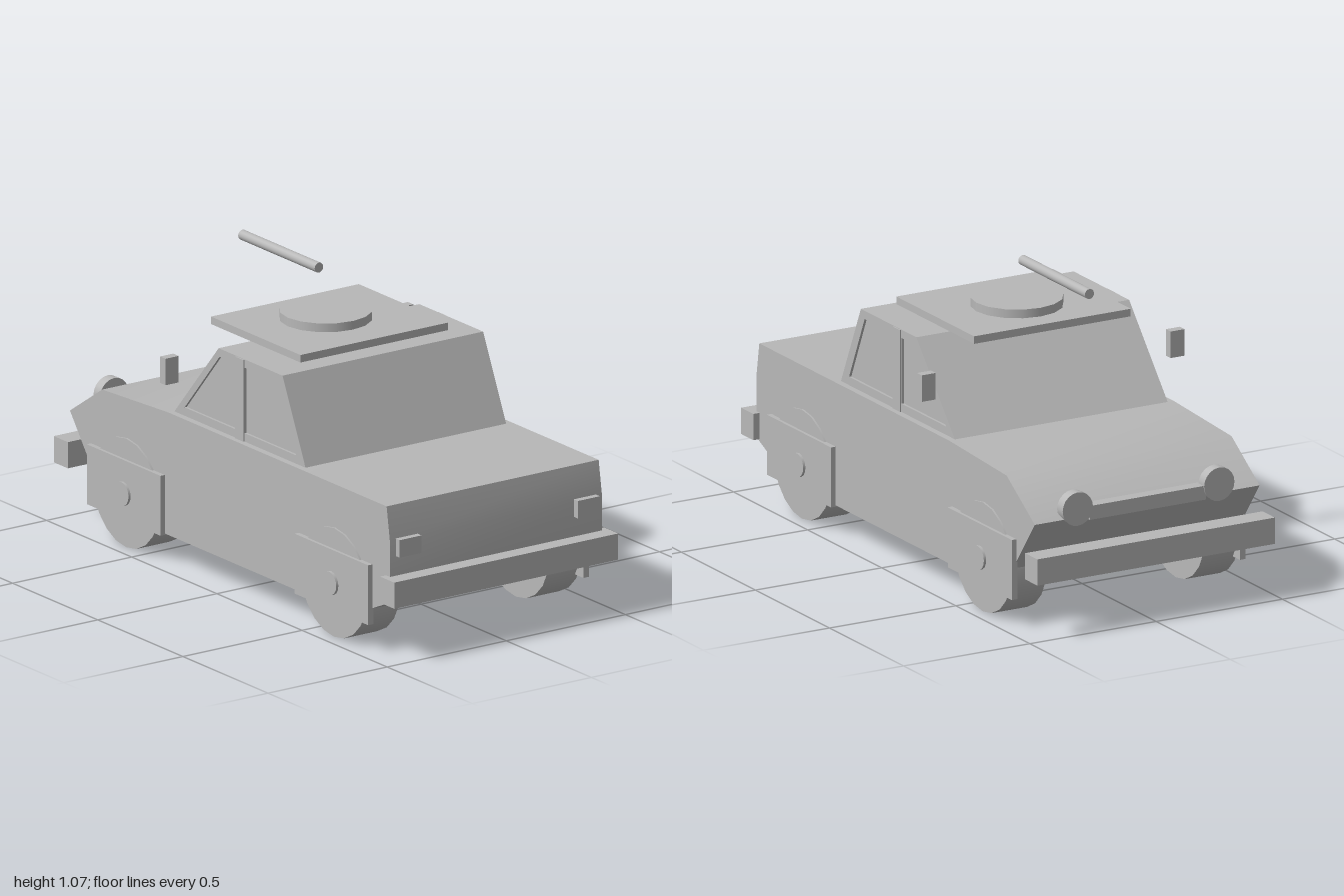
import * as THREE from 'three';
import { toCreasedNormals } from 'three/addons/utils/BufferGeometryUtils.js';

const grey = new THREE.MeshStandardMaterial({ color: 0xb8b8b8 });
grey.name = 'plain grey';

export function createModel() {
  const model = new THREE.Group();
  model.name = 'armouredCar';

  const add = (name, geometry) => {
    const mesh = new THREE.Mesh(geometry, grey);
    mesh.name = name;
    model.add(mesh);
    return mesh;
  };

  // Box given by its extents along each axis
  const box = (name, [x0, x1], [y0, y1], [z0, z1]) =>
    add(name, new THREE.BoxGeometry(x1 - x0, y1 - y0, z1 - z0))
      .position.set((x0 + x1) / 2, (y0 + y1) / 2, (z0 + z1) / 2);

  // Side profile of [z, y] points, extruded across x
  const points = (list) => list.map(([z, y]) => new THREE.Vector2(z, y));
  const profile = (name, outline, [x0, x1], holes = []) => {
    const shape = new THREE.Shape(points(outline));
    shape.holes = holes.map((h) => new THREE.Path(points(h)));
    const g = new THREE.ExtrudeGeometry(shape, { depth: x1 - x0, bevelEnabled: false });
    g.rotateY(-Math.PI / 2).translate(x1, 0, 0);
    return add(name, toCreasedNormals(g, 0.55));
  };

  // Cylinder along x, y or z
  const cylinder = (name, radius, length, sides, axis, [x, y, z]) => {
    const g = new THREE.CylinderGeometry(radius, radius, length, sides);
    if (axis === 'x') g.rotateZ(Math.PI / 2);
    if (axis === 'z') g.rotateX(Math.PI / 2);
    add(name, g).position.set(x, y, z);
  };

  // Hull and cabin
  profile('hull', [
    [0.72, 0.105], [0.93, 0.2], [0.94, 0.24], [0.94, 0.42], [0.92, 0.545],
    [-0.36, 0.545], [-0.75, 0.525], [-0.94, 0.4], [-0.82, 0.24], [-0.72, 0.105],
  ], [-0.445, 0.445]);
  const cabin = [[0.41, 0.545], [0.275, 0.84], [-0.1, 0.84], [-0.36, 0.545]];
  profile('cabin', cabin, [-0.412, 0.412]);

  // Turret plate, hatch and gun
  box('turretPlate', [-0.31, 0.31], [0.853, 0.88], [-0.3, 0.225]);
  cylinder('hatch', 0.16, 0.031, 16, 'y', [0, 0.8955, -0.06]);
  cylinder('gunBarrel', 0.018, 0.45, 16, 'z', [0, 1.05, -0.325]);

  // Bumpers and the bar between the lamps
  box('tailBumper', [-0.47, 0.47], [0.203, 0.297], [0.917, 1]);
  box('noseBumper', [-0.47, 0.47], [0.203, 0.297], [-1, -0.917]);
  box('grilleBar', [-0.23, 0.23], [0.385, 0.435], [-0.945, -0.9]);

  for (const side of [-1, 1]) {
    const span = (a, b) => (side > 0 ? [a, b] : [-b, -a]);

    // Raised window frame and centre pillar
    profile('windowFrame', cabin, span(0.412, 0.421), [
      [[0.355, 0.575], [0.05, 0.575], [0.05, 0.81], [0.25, 0.81]],
      [[0, 0.575], [-0.3, 0.575], [-0.095, 0.81], [0, 0.81]],
    ]);
    box('centrePillar', span(0.4, 0.426), [0.545, 0.838], [0.004, 0.052]);

    // Wheels, with guard plates and hubs
    for (const z of [0.62, -0.6]) {
      cylinder('wheel', 0.195, 0.14, 20, 'x', [side * 0.382, 0.195, z]);
      cylinder('hub', 0.042, 0.03, 16, 'x', [side * 0.457, 0.195, z]);
      box('wheelGuard', span(0.44, 0.463), [0.1, 0.315], [z - 0.215, z + 0.217]);
    }

    // Lamps and mirrors
    cylinder('headlight', 0.06, 0.038, 20, 'z', [side * 0.28, 0.433, -0.93]);
    box('tailLight', span(0.328, 0.42), [0.367, 0.43], [0.92, 0.962]);
    box('mirror', span(0.465, 0.52), [0.68, 0.775], [-0.305, -0.273]);
  }
  return model;
}
